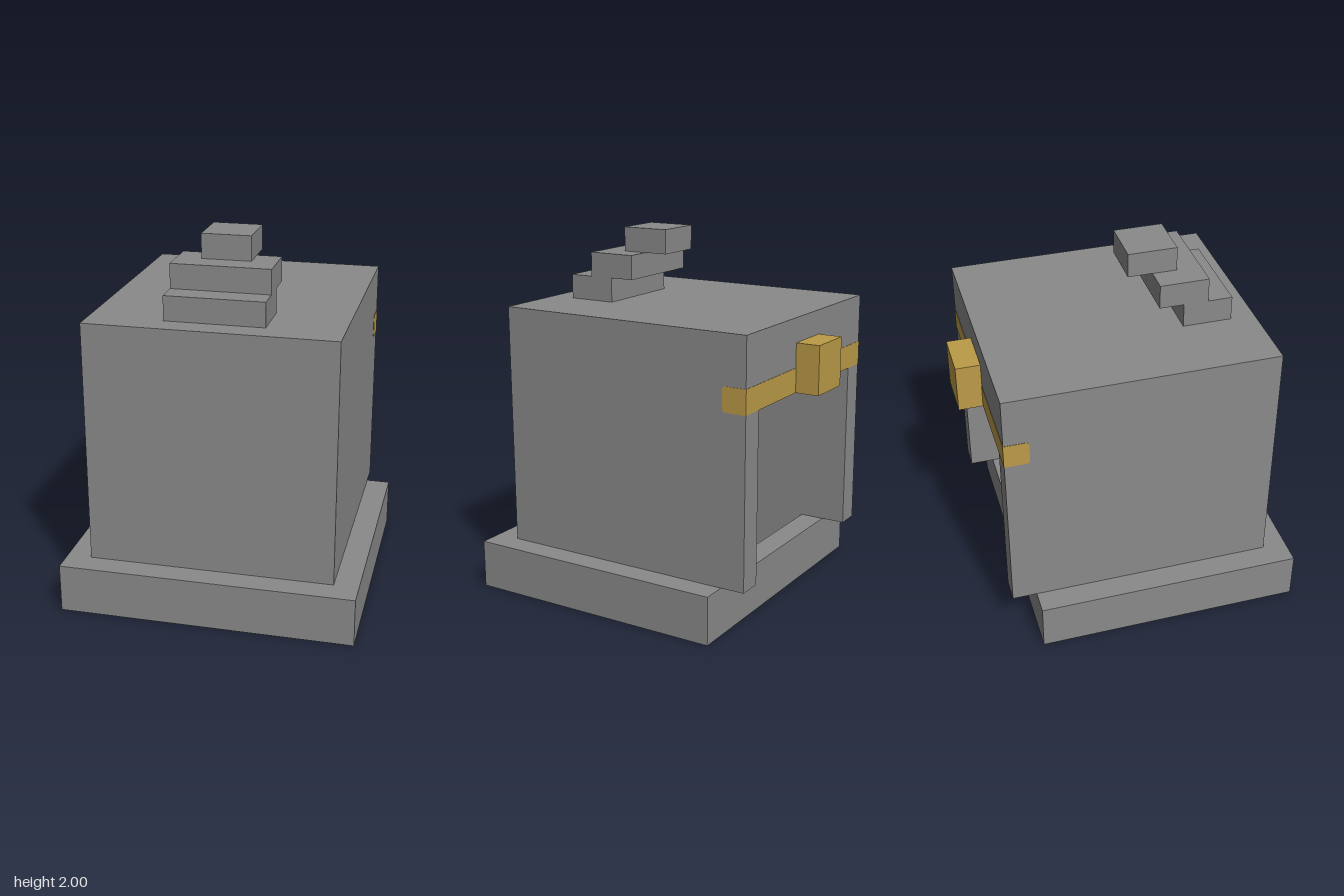
import * as THREE from 'three';

const U = 2 / 15; // one modelling unit: every dimension is a multiple of this

export function createModel() {
  const model = new THREE.Group();
  const steel = new THREE.MeshStandardMaterial({ color: 0x8a8a8a });
  steel.name = 'steel grey';
  const gold = new THREE.MeshStandardMaterial({ color: 0xbc9b48 });
  gold.name = 'strap gold';

  const add = (name, geometry, material) => {
    const mesh = new THREE.Mesh(geometry, material);
    mesh.name = name;
    model.add(mesh);
  };

  // Box from its limits in units: [min, max] per axis
  const block = (name, [x0, x1], [y0, y1], [z0, z1], material = steel) => {
    const geometry = new THREE.BoxGeometry((x1 - x0) * U, (y1 - y0) * U, (z1 - z0) * U);
    geometry.translate((x0 + x1) / 2 * U, (y0 + y1) / 2 * U, (z0 + z1) / 2 * U);
    add(name, geometry, material);
  };

  const outline = (points, Type = THREE.Shape) =>
    new Type(points.map(([x, z]) => new THREE.Vector2(x * U, z * U)));

  // Plan outline in x and z, raised from y0 to y1
  const raise = (name, shape, y0, y1) => {
    const geometry = new THREE.ExtrudeGeometry(shape, { depth: (y1 - y0) * U, bevelEnabled: false });
    geometry.rotateX(Math.PI / 2).translate(0, y1 * U, 0);
    add(name, geometry, steel);
  };

  // Brim: a square frame, set forward and open in the middle
  const brim = outline([[-6, -4.5], [6, -4.5], [6, 6.5], [-6, 6.5]]);
  brim.holes.push(outline([[-4, -3.5], [-4, 4.5], [4, 4.5], [4, -3.5]], THREE.Path));
  raise('brim', brim, 0, 2);

  // Hollow body: front and side walls, roof, and the panel over the back opening
  raise('walls', outline([
    [-5, -5.5], [-4, -5.5], [-4, 4.5], [4, 4.5], [4, -5.5], [5, -5.5], [5, 5.5], [-5, 5.5],
  ]), 2, 11);
  block('roof', [-5, 5], [11, 12], [-5.5, 5.5]);
  block('backPanel', [-4, 4], [10, 11], [-5.5, -4.5]);

  // Stepped crest leaning backwards
  [[2, 12, 2.5], [2, 13, 1.5], [1, 14, 0.5]].forEach(([half, y, z], i) =>
    block(`crestStep${i + 1}`, [-half, half], [y, y + 1], [z, z + 2]));

  // Strap across the back, wrapping the sides with softened front corners
  const skin = 0.002, r = 0.02;
  const back = 5.5 * U + skin, front = 4.5 * U, low = 9 * U, high = 10 * U;
  const side = new THREE.Shape();
  side.moveTo(back, low);
  side.lineTo(back, high);
  side.lineTo(front + r, high);
  side.quadraticCurveTo(front, high, front, high - r);
  side.lineTo(front, low + r);
  side.quadraticCurveTo(front, low, front + r, low);
  side.closePath();
  const length = 10 * U + 2 * skin;
  const strap = new THREE.ExtrudeGeometry(side, { depth: length, bevelEnabled: false, curveSegments: 4 });
  strap.translate(0, 0, -length / 2).rotateY(Math.PI / 2);
  // The quarter turn sends shape x to -z and depth to x
  add('strap', strap, gold);
  block('buckle', [-1, 1], [9, 11], [-6.5, -5.5], gold);

  return model;
}
